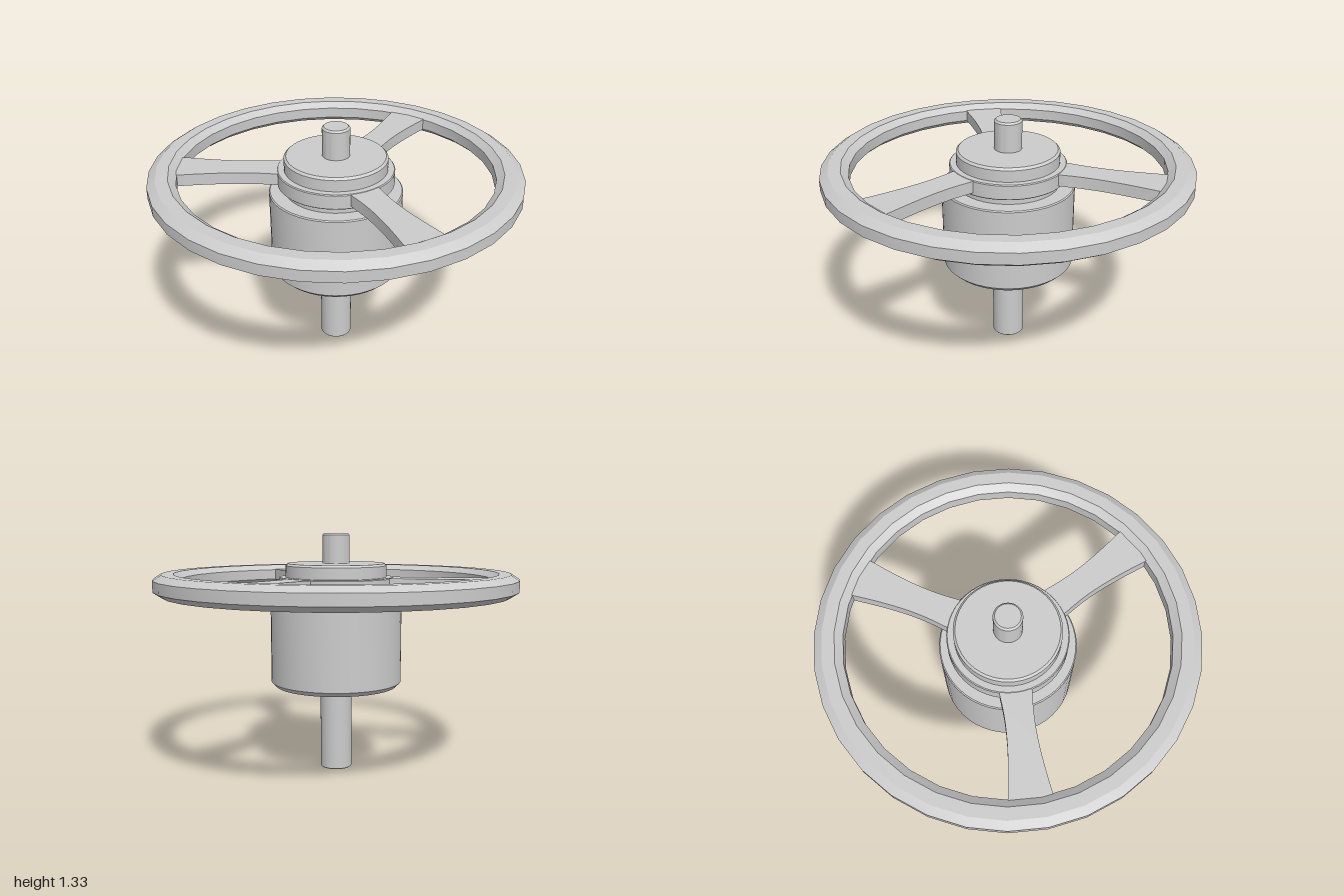
import * as THREE from 'three';
import { toCreasedNormals } from 'three/addons/utils/BufferGeometryUtils.js';

const material = new THREE.MeshStandardMaterial({ color: 0xcccccc });

// Turned part from [radius, height] pairs listed from bottom to top
function turned(name, profile, segments = 48) {
  const points = profile.map(([r, y]) => new THREE.Vector2(r, y));
  const geometry = toCreasedNormals(new THREE.LatheGeometry(points, segments), 0.5);
  const mesh = new THREE.Mesh(geometry, material);
  mesh.name = name;
  return mesh;
}

// Solid cylinder with a small chamfer at the bottom and the top
function chamferedDisc(name, radius, bottom, top, lower, upper) {
  return turned(name, [
    [0, bottom], [radius - lower, bottom], [radius, bottom + lower],
    [radius, top - upper], [radius - upper, top], [0, top],
  ]);
}

// Flat spoke, waisted near the hub and flaring into the rim
function spokeGeometry() {
  const shape = new THREE.Shape();
  shape.moveTo(-0.08, 0.26);
  shape.lineTo(0.08, 0.26);
  shape.lineTo(0.083, 0.32);
  shape.bezierCurveTo(0.07, 0.44, 0.065, 0.56, 0.108, 0.83);
  shape.lineTo(0.11, 0.87);
  shape.lineTo(-0.11, 0.87);
  shape.lineTo(-0.108, 0.83);
  shape.bezierCurveTo(-0.065, 0.56, -0.07, 0.44, -0.083, 0.32);
  shape.closePath();
  const geometry = new THREE.ExtrudeGeometry(shape, { depth: 0.065, bevelEnabled: false, curveSegments: 10 });
  geometry.rotateX(-Math.PI / 2); // lies flat, pointing to -z
  geometry.translate(0, 1.018, 0);
  return toCreasedNormals(geometry, 0.5);
}

export function createModel() {
  const wheel = new THREE.Group();
  wheel.name = 'handwheel';

  // Rim with an eight-sided section
  wheel.add(turned('rim', [
    [0.89, 0.99], [0.955, 0.99], [1, 1.02], [1, 1.08], [0.955, 1.11],
    [0.89, 1.11], [0.85, 1.08], [0.85, 1.02], [0.89, 0.99],
  ], 32));

  // Three spokes, evenly spaced
  const geometry = spokeGeometry();
  for (let i = 0; i < 3; i++) {
    const spoke = new THREE.Mesh(geometry, material);
    spoke.name = `spoke${i + 1}`;
    spoke.rotation.y = (i * Math.PI * 2) / 3;
    wheel.add(spoke);
  }

  // Hub stack and housing
  wheel.add(chamferedDisc('hubCore', 0.28, 0.94, 1.16, 0.005, 0.012));
  wheel.add(chamferedDisc('hubRing', 0.318, 1.0, 1.085, 0.005, 0.005));
  wheel.add(chamferedDisc('housing', 0.365, 0.475, 0.96, 0.025, 0.006));

  // Shaft ends
  wheel.add(chamferedDisc('lowerShaft', 0.088, 0, 0.5, 0.004, 0.004));
  wheel.add(chamferedDisc('upperShaft', 0.075, 1.14, 1.325, 0.004, 0.01));

  return wheel;
}
